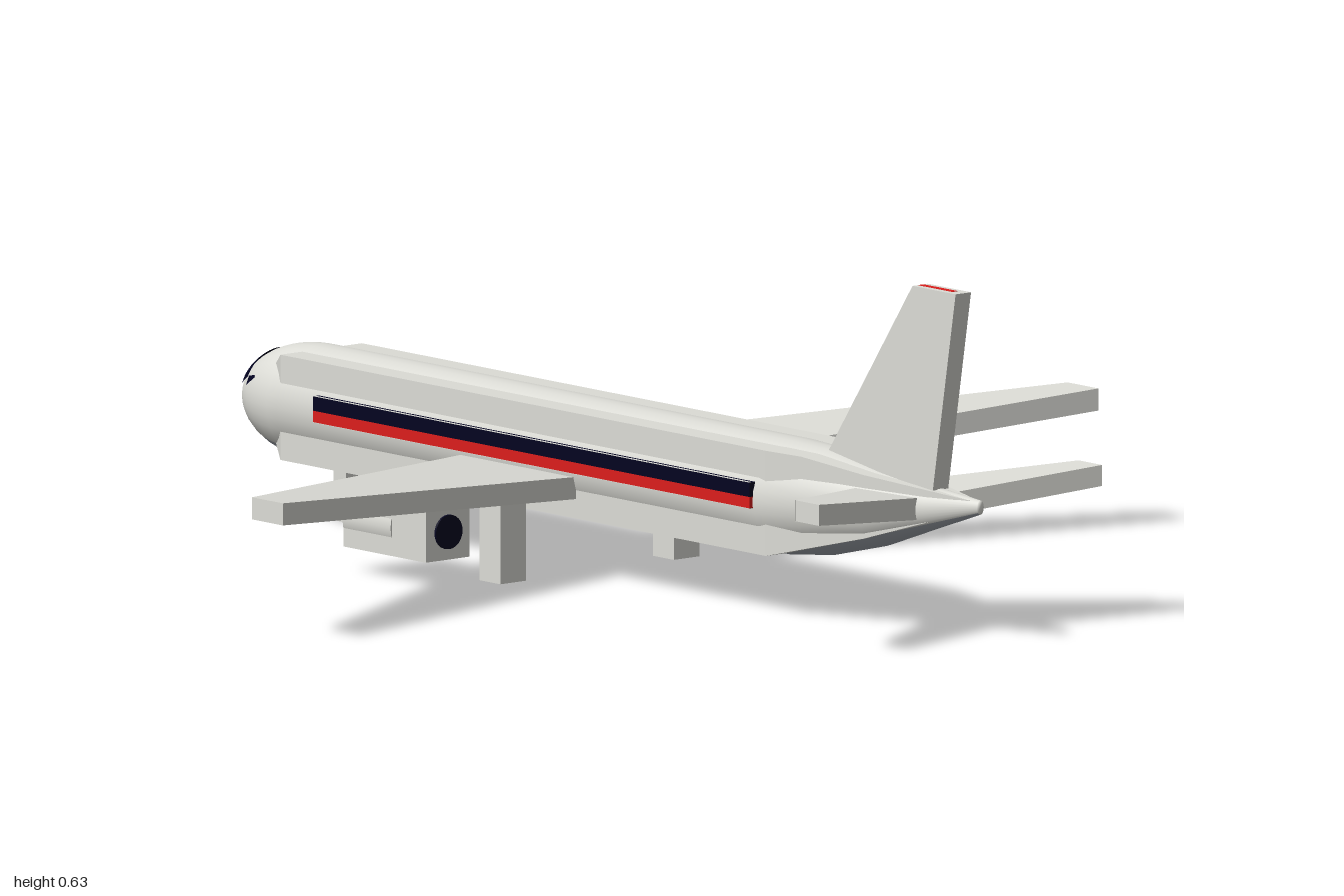
import * as THREE from 'three';

const material = (name, color) => {
  const m = new THREE.MeshStandardMaterial({ color, side: THREE.DoubleSide });
  m.name = name;
  return m;
};
const body = material('paleGrey', 0xdcdcd6);
const bellyGrey = material('bellyGrey', 0xa4aab2);
const navy = material('navyGlass', 0x030320);
const red = material('red', 0xdc1e1c);

// Closed skin through rings of points; rings run counter-clockwise around the sweep direction
function loft(rings, smooth = false) {
  const n = rings[0].length, pos = rings.flat(2), index = [];
  for (let j = 0; j < n; j++) {
    for (let i = 0; i < rings.length - 1; i++) {
      const a = i * n + j, b = i * n + (j + 1) % n;
      index.push(a, b, b + n, a, b + n, a + n);
    }
  }
  const last = (rings.length - 1) * n;
  for (let j = 1; j < n - 1; j++) {
    index.push(0, j + 1, j, last, last + j, last + j + 1);
  }
  let g = new THREE.BufferGeometry();
  g.setAttribute('position', new THREE.Float32BufferAttribute(pos, 3));
  g.setIndex(index);
  if (!smooth) g = g.toNonIndexed();
  g.computeVertexNormals();
  return g;
}

export function createModel() {
  const plane = new THREE.Group();
  plane.name = 'airliner';
  const add = (name, geometry, mat) => {
    const m = new THREE.Mesh(geometry, mat);
    m.name = name;
    plane.add(m);
    return m;
  };
  // Box from its limits on each axis
  const box = (name, x0, x1, y0, y1, z0, z1, mat = body) =>
    add(name, new THREE.BoxGeometry(x1 - x0, y1 - y0, z1 - z0), mat)
      .position.set((x0 + x1) / 2, (y0 + y1) / 2, (z0 + z1) / 2);

  // Round fuselage: domed nose, straight middle, tapering raised tail
  const R = 0.105, CY = 0.205, NZ = -0.82, NL = 0.18;
  const sections = []; // z, half width, bottom, top
  for (let i = 0; i <= 10; i++) {
    const a = (1 - i / 10) * Math.PI / 2, r = Math.max(R * Math.cos(a), 0.002);
    sections.push([NZ - NL * Math.sin(a), r, CY - r, CY + r]);
  }
  sections.push(
    [0.5, 0.105, 0.1, 0.31], [0.6, 0.093, 0.112, 0.306], [0.74, 0.066, 0.146, 0.285],
    [0.88, 0.034, 0.195, 0.27], [1, 0.008, 0.236, 0.262],
  );
  const SIDES = 32, BELLY = 8; // rings start at the lower right, so the first sides are the belly
  const skin = loft(sections.map(([z, w, y0, y1]) =>
    Array.from({ length: SIDES }, (_, j) => {
      const a = j / SIDES * Math.PI * 2 - Math.PI * 0.75;
      return [w * Math.cos(a), (y0 + y1) / 2 + (y1 - y0) / 2 * Math.sin(a), z];
    })), true);
  const bellyCount = BELLY * (sections.length - 1) * 6;
  skin.addGroup(0, bellyCount, 0);
  skin.addGroup(bellyCount, skin.index.count - bellyCount, 1);
  add('fuselage', skin, [bellyGrey, body]);

  // Square outer hull whose corners run along the round fuselage
  const hull = [
    [-0.88, 0.06, 0.145, 0.265], [-0.82, 0.095, 0.11, 0.3], [0.52, 0.095, 0.11, 0.3],
    [0.6, 0.08, 0.13, 0.298], [0.74, 0.053, 0.165, 0.28], [0.98, 0.008, 0.24, 0.26],
  ];
  add('hull', loft(hull.map(([z, w, y0, y1]) =>
    [[w, y0, z], [w, y1, z], [-w, y1, z], [-w, y0, z]])), body);

  // Wings and stabilizer, each swept from tip to tip: x, bottom, top, front, back
  const span = (name, tip, root) => {
    const ring = (x, [, y0, y1, z0, z1]) => [[x, y0, z0], [x, y1, z0], [x, y1, z1], [x, y0, z1]];
    add(name, loft([ring(-tip[0], tip), ring(0, root), ring(tip[0], tip)]), body);
  };
  span('wings', [0.95, 0.217, 0.257, 0.115, 0.2], [0, 0.137, 0.177, -0.365, -0.026]);
  span('stabilizer', [0.33, 0.245, 0.283, 0.88, 0.945], [0, 0.209, 0.249, 0.69, 0.855]);

  // Tail fin with a red strip on its tip
  const finRing = (y, z0, z1) => [[-0.018, y, z0], [-0.018, y, z1], [0.018, y, z1], [0.018, y, z0]];
  add('tailFin', loft([finRing(0.25, 0.565, 0.887), finRing(0.63, 0.834, 0.953)]), body);
  box('finTipStripe', -0.006, 0.006, 0.628, 0.6306, 0.836, 0.93, red);

  // Window on the nose dome, between angles a0 and a1 around the nose axis
  const nosePatch = (name, zFront, zBack, a0, a1) => {
    const g = new THREE.PlaneGeometry(1, 1, 24, 10), p = g.attributes.position;
    for (let i = 0; i < p.count; i++) {
      const u = p.getX(i) + 0.5, v = p.getY(i) + 0.5;
      const z = zFront + (zBack - zFront) * v, r = Math.sqrt(1 - z * z);
      const lo = a0(r, z), a = lo + (a1(r, z) - lo) * u;
      p.setXYZ(i, 1.025 * R * r * Math.cos(a), CY + 1.025 * R * r * Math.sin(a), NZ + NL * 1.012 * z);
    }
    g.computeVertexNormals();
    add(name, g, navy);
  };
  // The windshield sill rises towards the back; the side windows fill in behind it
  const sill = (r, z) => Math.asin(Math.min(1, (0.2 + Math.max(0, z + 0.8) * 0.9) / r));
  const sideSill = (r, z) => 0.22 + (z + 0.66) * 1.1;
  nosePatch('windshield', -0.979, -0.63, sill, (r, z) => Math.PI - sill(r, z));
  nosePatch('leftCockpitWindow', -0.6, -0.45, sideSill, () => 0.5);
  nosePatch('rightCockpitWindow', -0.6, -0.45, () => Math.PI - 0.5, (r, z) => Math.PI - sideSill(r, z));

  box('noseGear', -0.018, 0.018, 0, 0.125, -0.765, -0.73);

  for (const [side, s] of [['left', 1], ['right', -1]]) {
    const sideBox = (name, x0, x1, ...rest) =>
      box(side + name, Math.min(s * x0, s * x1), Math.max(s * x0, s * x1), ...rest);

    // Window band and red cheat line, with grey trim above and below
    sideBox('WindowBand', 0.094, 0.112, 0.215, 0.241, -0.71, 0.495, navy);
    sideBox('RedStripe', 0.094, 0.112, 0.1945, 0.215, -0.71, 0.495, red);
    sideBox('UpperTrim', 0.108, 0.112, 0.241, 0.242, -0.71, 0.495);
    sideBox('LowerTrim', 0.094, 0.112, 0.1935, 0.1945, -0.71, 0.495);

    // Flat red stripe sloping along the tail
    const stripe = new THREE.PlaneGeometry(1, 1), p = stripe.attributes.position;
    for (let i = 0; i < 4; i++) {
      const t = p.getX(i) + 0.5;
      p.setXYZ(i, s * (0.0945 - 0.0265 * t), 0.206 + 0.014 * t + p.getY(i) * (0.01 + 0.006 * t), 0.6 + 0.137 * t);
    }
    if (s > 0) stripe.index.array.reverse();
    stripe.computeVertexNormals();
    add(side + 'TailStripe', stripe, red);

    // Engine: square pod with a round cowl, intake, exhaust and pylon
    sideBox('EnginePod', 0.255, 0.357, 0.045, 0.146, -0.335, -0.108);
    const disc = (name, r, len, z, mat) => add(side + name,
      new THREE.CylinderGeometry(r, r, len, 24).rotateX(Math.PI / 2), mat)
      .position.set(s * 0.306, 0.0955, z);
    disc('EngineCowl', 0.054, 0.133, -0.2685, body);
    disc('EngineIntake', 0.046, 0.006, -0.333, navy);
    disc('EngineExhaust', 0.031, 0.006, -0.1065, navy);
    sideBox('Pylon', 0.297, 0.315, 0.14, 0.168, -0.275, -0.15);

    sideBox('MainGear', 0.172, 0.232, 0, 0.16, -0.108, -0.05);
  }
  return plane;
}
